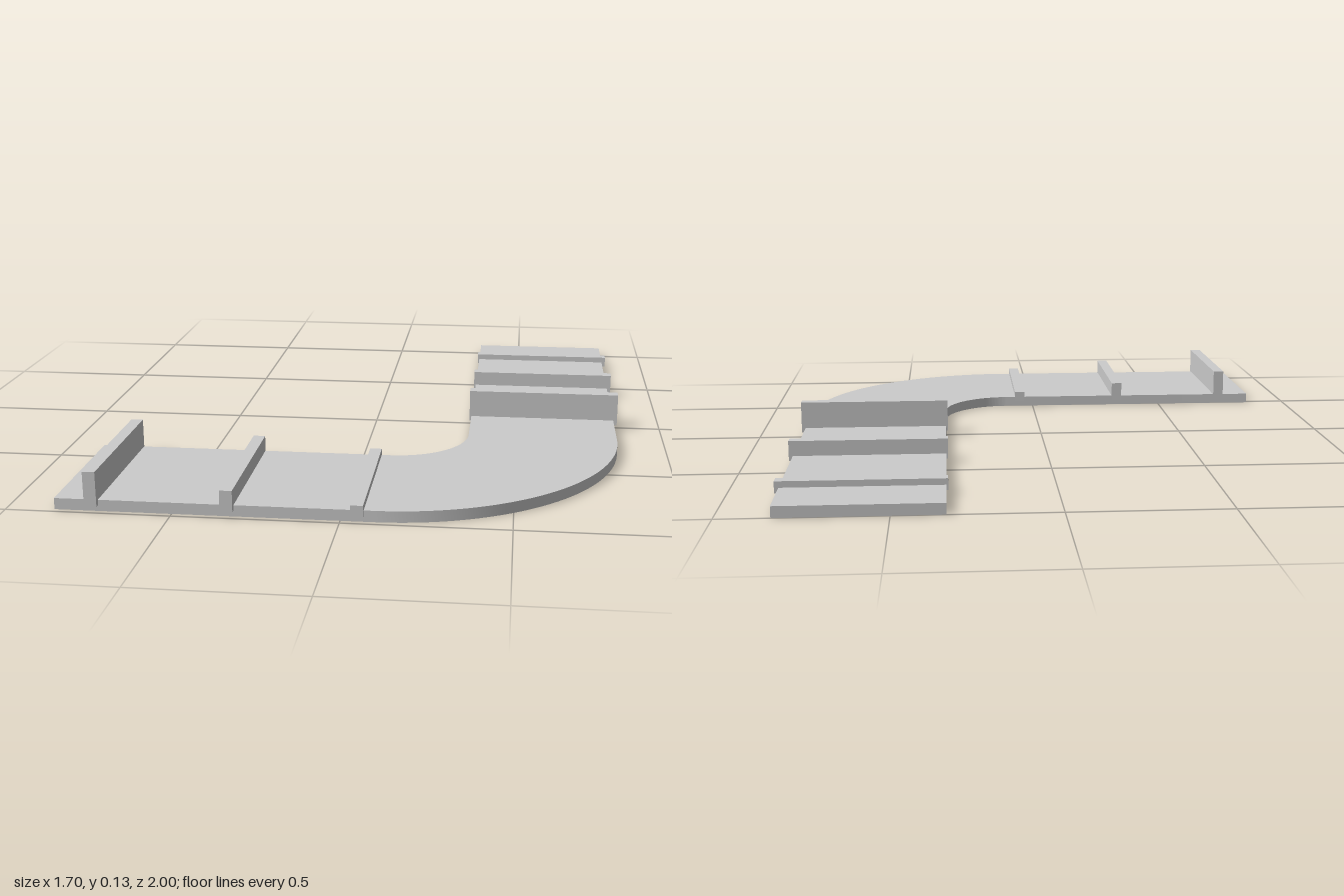
import * as THREE from 'three';
import { toCreasedNormals } from 'three/addons/utils/BufferGeometryUtils.js';

export function createModel() {
  const group = new THREE.Group();
  const material = new THREE.MeshStandardMaterial({ color: 0xcccccc });
  const deckTop = 0.035;

  // L-shaped deck with a quarter-turn bend, drawn in plan (shape y becomes z)
  const cx = 0.1, cz = 0.245, inner = 0.24, outer = 0.737;
  const plan = new THREE.Shape();
  plan.moveTo(-0.855, cz + inner);
  plan.lineTo(cx, cz + inner);
  plan.absarc(cx, cz, inner, Math.PI / 2, 0, true);
  plan.lineTo(cx + inner, -1);
  plan.lineTo(cx + outer, -1);
  plan.lineTo(cx + outer, cz);
  plan.absarc(cx, cz, outer, 0, Math.PI / 2, false);
  plan.lineTo(-0.855, cz + outer);
  plan.closePath();
  const deckGeometry = new THREE.ExtrudeGeometry(plan, {
    depth: deckTop, bevelEnabled: false, curveSegments: 32,
  });
  deckGeometry.rotateX(Math.PI / 2).translate(0, deckTop, 0);
  const deck = new THREE.Mesh(toCreasedNormals(deckGeometry, 0.4), material);
  deck.name = 'deck';
  group.add(deck);

  // Cross bars of three heights on each arm, sunk partly into the deck
  const barBase = 0.018, barThickness = 0.038, barLength = 0.516;
  function addBar(name, x, z, top, acrossX) {
    const height = top - barBase;
    const geometry = acrossX
      ? new THREE.BoxGeometry(barLength, height, barThickness)
      : new THREE.BoxGeometry(barThickness, height, barLength);
    const bar = new THREE.Mesh(geometry, material);
    bar.name = name;
    bar.position.set(x, barBase + height / 2, z);
    group.add(bar);
  }
  const bars = [
    { size: 'tall', top: 0.127, x: -0.74, z: 0.008 },
    { size: 'medium', top: 0.085, x: -0.333, z: -0.4 },
    { size: 'low', top: 0.055, x: 0.05, z: -0.786 },
  ];
  for (const { size, top, x, z } of bars) {
    addBar(`${size}FrontArmBar`, x, 0.74, top, false);
    addBar(`${size}BackArmBar`, 0.592, z, top, true);
  }
  return group;
}
